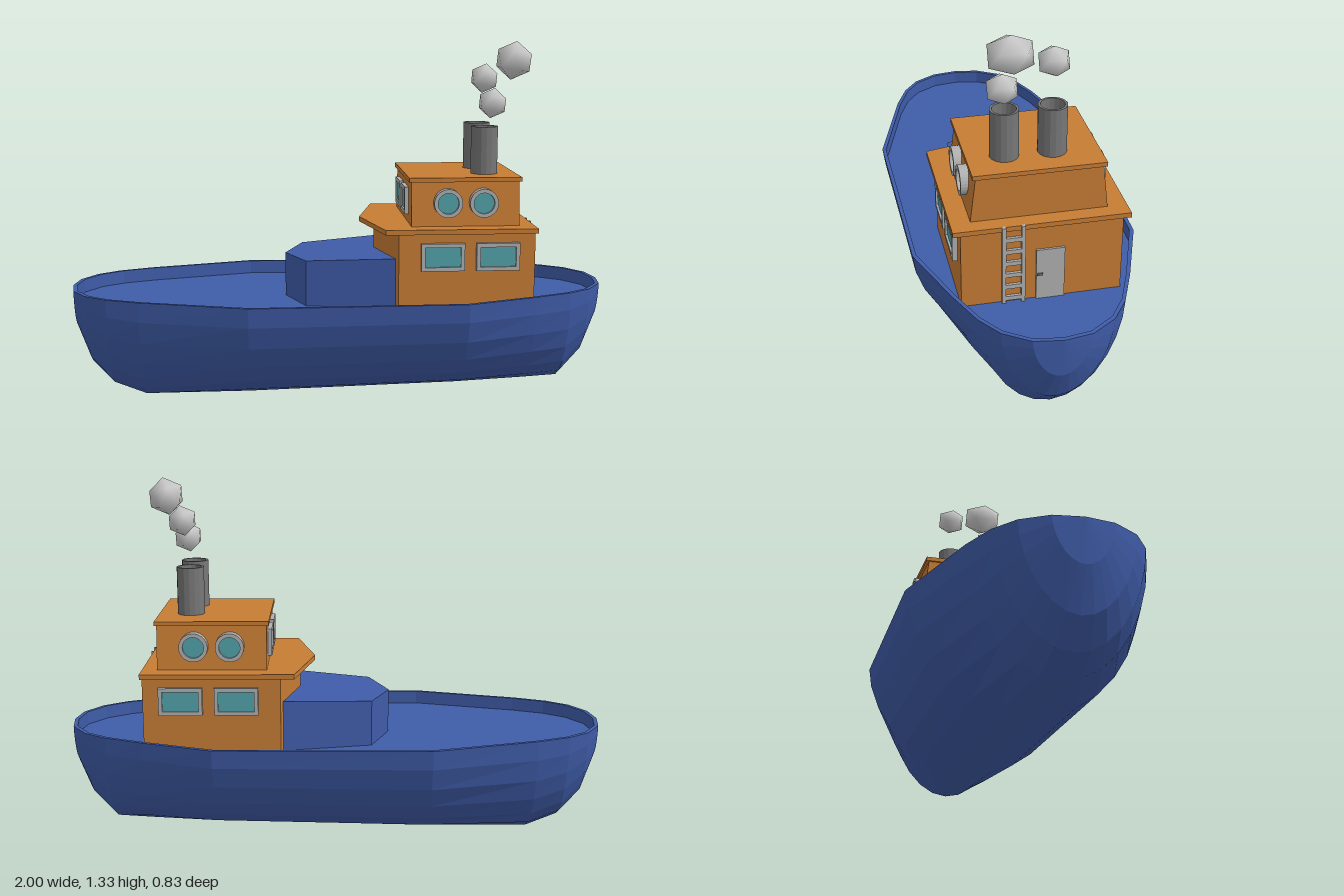
import * as THREE from 'three';

const mat = (color, flatShading = true) => new THREE.MeshStandardMaterial({ color, flatShading });
const BLUE = mat(0x3f5ca8), ORANGE = mat(0xc67c34), GREY = mat(0xb0b0b0), GLASS = mat(0x52a3ab);
const STEEL = mat(0x777777), SMOKE = mat(0xcccccc, false);

function add(parent, name, geometry, material, x = 0, y = 0, z = 0) {
  const mesh = new THREE.Mesh(geometry, material);
  mesh.name = name;
  mesh.position.set(x, y, z);
  parent.add(mesh);
  return mesh;
}

const box = (w, h, d) => new THREE.BoxGeometry(w, h, d);

// Upright prism from half of a mirrored plan outline, given as [x, z]
function prism(half, y0, y1) {
  const mirrored = half.filter(p => p[1] > 0).reverse().map(([x, z]) => [x, -z]);
  const shape = new THREE.Shape([...half, ...mirrored].map(([x, z]) => new THREE.Vector2(x, z)));
  const g = new THREE.ExtrudeGeometry(shape, { depth: y1 - y0, bevelEnabled: false });
  return g.rotateX(-Math.PI / 2).translate(0, y0, 0);
}

// Moves every vertex by a rule
function reshape(g, rule) {
  const p = g.attributes.position, v = new THREE.Vector3();
  for (let i = 0; i < p.count; i++) {
    rule(v.fromBufferAttribute(p, i));
    p.setXYZ(i, v.x, v.y, v.z);
  }
  g.computeVertexNormals();
  return g;
}

// Hull with bulwark and sunken deck, lofted from bow to stern
function hullGeometry() {
  const rim = 0.42, deck = 0.37, steps = 14;
  // x, half width, keel height
  const sections = [
    [-1, 0, 0.42], [-0.985, 0.1, 0.27], [-0.93, 0.19, 0.13], [-0.85, 0.25, 0.045],
    [-0.73, 0.3, 0], [-0.34, 0.415, 0.01], [0.44, 0.405, 0.03], [0.7, 0.31, 0.036],
    [0.84, 0.25, 0.04], [0.925, 0.19, 0.13], [0.985, 0.1, 0.265], [1, 0, 0.42],
  ];
  const pos = [], index = [], n = steps + 5;
  sections.forEach(([x, w, keel], k) => {
    for (let i = 0; i <= steps; i++) {
      const a = Math.PI * i / steps;
      const drop = Math.pow(Math.max(0, Math.sin(a)), 1.15);
      pos.push(x, rim - (rim - keel) * drop, w * Math.cos(a));
    }
    const xi = x * 0.985, wi = w * 0.965;
    pos.push(xi, rim, -wi, xi, deck, -wi, xi, deck, wi, xi, rim, wi);
    if (k === sections.length - 1) return;
    for (let j = 0; j < n; j++) {
      const a = k * n + j, b = k * n + (j + 1) % n;
      index.push(a, b, a + n, b, b + n, a + n);
    }
  });
  const g = new THREE.BufferGeometry();
  g.setAttribute('position', new THREE.Float32BufferAttribute(pos, 3));
  g.setIndex(index);
  g.computeVertexNormals();
  return g;
}

// Framed pane facing +z; round when no height is given
function addWindow(parent, name, w, h, depth, x, y, z, turn) {
  const outline = (C, inset) => {
    const c = new C();
    if (!h) return c.absarc(0, 0, w / 2 - inset, 0, Math.PI * 2);
    const a = w / 2 - inset, b = h / 2 - inset;
    return c.moveTo(-a, -b).lineTo(a, -b).lineTo(a, b).lineTo(-a, b).closePath();
  };
  const frame = outline(THREE.Shape, 0);
  frame.holes.push(outline(THREE.Path, 0.014));
  const opts = { depth, bevelEnabled: false, curveSegments: 14 };
  const pane = new THREE.ExtrudeGeometry(outline(THREE.Shape, 0.012), { ...opts, depth: depth * 0.7 });
  const group = new THREE.Group();
  group.name = name;
  group.position.set(x, y, z);
  group.rotation.y = turn;
  add(group, 'windowFrame', new THREE.ExtrudeGeometry(frame, opts), GREY);
  add(group, 'windowGlass', pane, GLASS);
  parent.add(group);
}

export function createModel() {
  const boat = new THREE.Group();
  boat.name = 'tugboat';

  add(boat, 'hull', hullGeometry(), BLUE);

  // Fore cabin with a roof rising gently aft
  const fore = prism([[-0.2, 0], [-0.13, -0.18], [0.22, -0.25]].map(([x, z]) => [x, Math.abs(z)]), 0.36, 0.545);
  add(boat, 'foreCabin', reshape(fore, v => {
    if (v.y > 0.5) v.y += 0.05 * v.x;
  }), BLUE);

  // Lower cabin with pointed front and overhanging roof
  add(boat, 'lowerCabin', prism([[0.135, 0], [0.2, 0.277], [0.695, 0.277]], 0.36, 0.655), ORANGE);
  add(boat, 'lowerRoof', prism([[0.08, 0], [0.15, 0.303], [0.7, 0.303]], 0.652, 0.67), ORANGE);

  // Wheelhouse, narrowing upwards
  add(boat, 'wheelhouse', reshape(box(0.395, 0.17, 0.47), v => {
    if (v.y > 0) v.z *= 0.915;
  }), ORANGE, 0.4475, 0.75, 0);
  add(boat, 'wheelhouseRoof', box(0.41, 0.016, 0.454), ORANGE, 0.447, 0.838, 0);

  // Side windows and portholes, mirrored
  for (const s of [1, -1]) {
    const turn = s > 0 ? 0 : Math.PI;
    for (const x of [0.358, 0.558])
      addWindow(boat, 'cabinWindow', 0.157, 0.1, 0.025, x, 0.567, s * 0.27, turn);
    for (const x of [0.382, 0.512])
      addWindow(boat, 'porthole', 0.104, 0, 0.036, x, 0.755, s * 0.214, turn);
    addWindow(boat, 'wheelhouseWindow', 0.12, 0.1, 0.02, 0.255, 0.752, s * 0.083, -Math.PI / 2);
  }

  // Aft door
  add(boat, 'door', box(0.012, 0.2, 0.098), GREY, 0.697, 0.466, -0.027);
  add(boat, 'doorHandle', box(0.012, 0.008, 0.02), STEEL, 0.702, 0.47, 0.01);

  // Aft ladder
  const ladder = new THREE.Group();
  ladder.name = 'ladder';
  for (const z of [0.067, 0.133]) add(ladder, 'ladderRail', box(0.014, 0.3, 0.013), GREY, 0.701, 0.52, z);
  for (let i = 0; i < 6; i++) add(ladder, 'ladderRung', box(0.01, 0.016, 0.066), GREY, 0.7, 0.387 + i * 0.0465, 0.1);
  boat.add(ladder);

  // Hollow funnels
  const profile = [[0.05, 0], [0.05, 0.18], [0.041, 0.18], [0.041, 0.1], [0, 0.1]];
  const funnel = new THREE.LatheGeometry(profile.map(p => new THREE.Vector2(...p)), 16);
  for (const z of [0.098, -0.066]) add(boat, 'funnel', funnel, STEEL, 0.535, 0.84, z);

  // Smoke puffs
  const puff = new THREE.IcosahedronGeometry(1, 0);
  puff.attributes.normal.copy(puff.attributes.position);
  for (const [x, y, z, r, stretch] of [
    [0.56, 1.105, 0.11, 0.056, 1.05], [0.56, 1.187, -0.06, 0.056, 1.05], [0.638, 1.26, 0.1, 0.071, 1.2],
  ]) {
    const mesh = add(boat, 'smokePuff', puff, SMOKE, x, y, z);
    mesh.scale.set(r, r, r * stretch);
    mesh.rotation.z = 0.4;
  }
  return boat;
}
